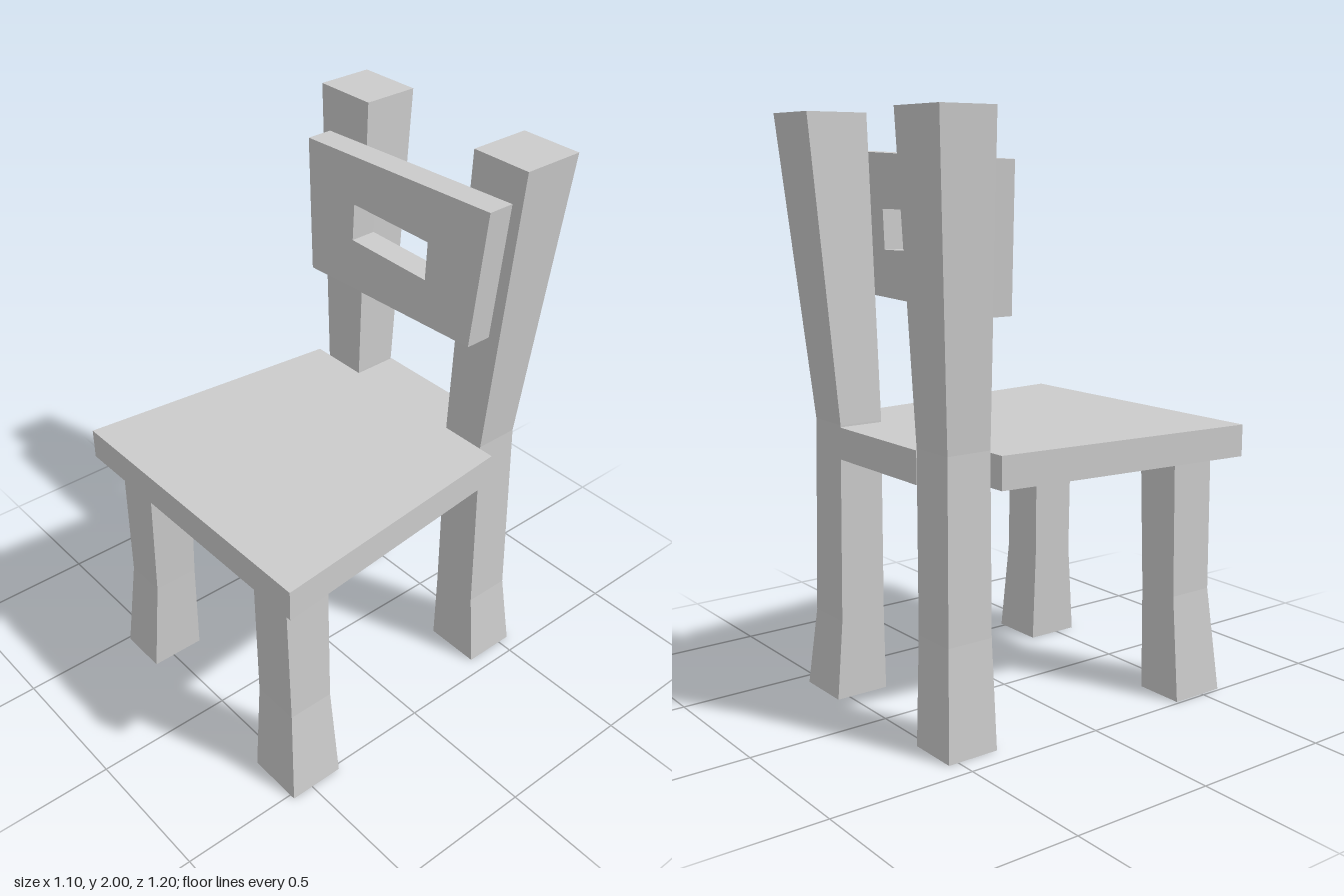
import * as THREE from 'three';

const material = new THREE.MeshStandardMaterial({ color: 0xcccccc, flatShading: true, side: THREE.DoubleSide });

// Four-sided post through sections [y, x0, x1, z0, z1] from bottom to top; open underneath
function loft(sections, capTop) {
  const points = [], index = [];
  for (const [y, x0, x1, z0, z1] of sections) {
    points.push(x0, y, z1, x1, y, z1, x1, y, z0, x0, y, z0);
  }
  for (let s = 0; s < sections.length - 1; s++) {
    for (let i = 0; i < 4; i++) {
      const a = s * 4 + i, b = s * 4 + (i + 1) % 4;
      index.push(a, b, b + 4, a, b + 4, a + 4);
    }
  }
  if (capTop) {
    const t = (sections.length - 1) * 4;
    index.push(t, t + 1, t + 2, t, t + 2, t + 3);
  }
  const indexed = new THREE.BufferGeometry();
  indexed.setAttribute('position', new THREE.Float32BufferAttribute(points, 3));
  indexed.setIndex(index);
  const geometry = indexed.toNonIndexed();
  geometry.computeVertexNormals();
  return geometry;
}

function polygon(points, Type = THREE.Shape) {
  return new Type(points.map(([x, y]) => new THREE.Vector2(x, y)));
}

export function createModel() {
  const chair = new THREE.Group();
  chair.name = 'chair';
  const add = (name, geometry) => {
    const mesh = new THREE.Mesh(geometry, material);
    mesh.name = name;
    chair.add(mesh);
  };

  // Seat: tapered board with a tongue running back between the posts
  const seatShape = polygon([
    [-0.55, -0.6], [0.545, -0.6], [0.45, 0.355], [0.232, 0.355],
    [0.232, 0.518], [-0.235, 0.518], [-0.235, 0.355], [-0.458, 0.355],
  ]);
  const seat = new THREE.ExtrudeGeometry(seatShape, { depth: 0.11, bevelEnabled: false });
  seat.rotateX(-Math.PI / 2);
  seat.translate(0, 0.853, 0);
  add('seat', seat);

  // Front legs, slightly uneven and flared at the foot
  add('frontLegRight', loft([
    [0, -0.49, -0.31, 0.38, 0.58],
    [0.37, -0.455, -0.3, 0.385, 0.55],
    [0.86, -0.452, -0.285, 0.38, 0.55],
  ], true));
  add('frontLegLeft', loft([
    [0, 0.315, 0.52, 0.38, 0.58],
    [0.34, 0.305, 0.478, 0.385, 0.55],
    [0.86, 0.295, 0.46, 0.38, 0.55],
  ], true));

  // Back legs continue upward as leaning posts that widen at the top
  add('backPostRight', loft([
    [0, -0.425, -0.245, -0.535, -0.35],
    [0.37, -0.405, -0.24, -0.52, -0.355],
    [0.97, -0.4, -0.233, -0.515, -0.355],
    [2, -0.475, -0.24, -0.585, -0.383],
  ], true));
  add('backPostLeft', loft([
    [0, 0.235, 0.442, -0.545, -0.35],
    [0.28, 0.234, 0.41, -0.523, -0.355],
    [0.97, 0.23, 0.395, -0.515, -0.355],
    [2, 0.25, 0.475, -0.603, -0.38],
  ], true));

  // Backrest: crooked board with a hand slot, leaning with the posts
  const board = polygon([[-0.385, 1.375], [0.39, 1.403], [0.425, 1.88], [-0.425, 1.847]]);
  board.holes.push(polygon([[-0.18, 1.56], [-0.18, 1.69], [0.175, 1.688], [0.175, 1.554]], THREE.Path));
  const backrest = new THREE.ExtrudeGeometry(board, { depth: 0.095, bevelEnabled: false });
  const p = backrest.attributes.position;
  for (let i = 0; i < p.count; i++) p.setZ(i, p.getZ(i) - 0.357 - (p.getY(i) - 1.375) * 0.04);
  backrest.computeVertexNormals();
  add('backrest', backrest);

  return chair;
}
